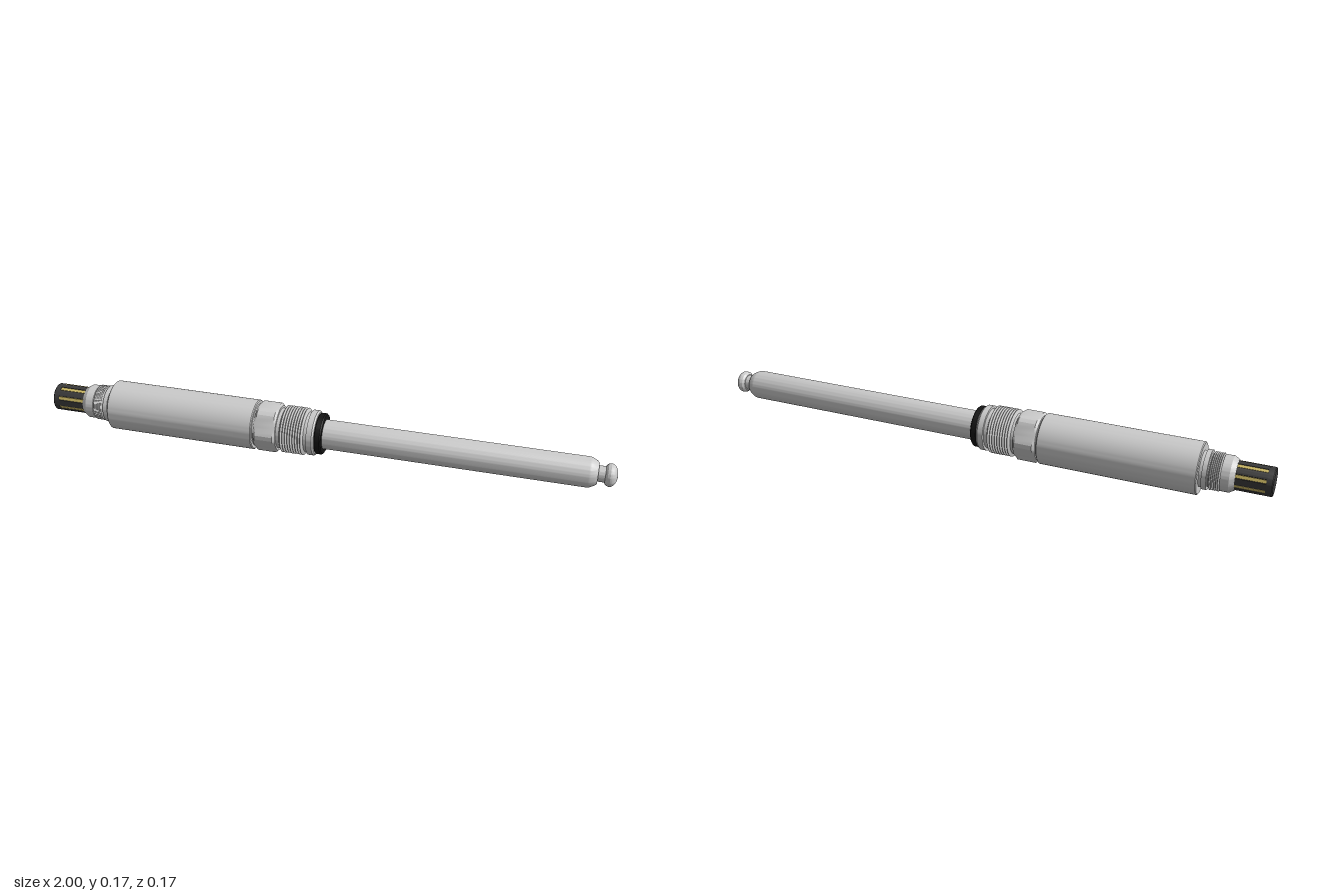
import * as THREE from 'three';
import { toCreasedNormals } from 'three/addons/utils/BufferGeometryUtils.js';

const AXIS_Y = 0.0875;
const grey = new THREE.MeshStandardMaterial({ color: 0xcccccc });
const dark = new THREE.MeshStandardMaterial({ color: 0x3a3a3a });
const black = new THREE.MeshStandardMaterial({ color: 0x141414 });
const gold = new THREE.MeshStandardMaterial({ color: 0xcdb964 });

// Profile of [position along x, radius] pairs turned around the probe axis
function turned(name, profile, material = grey, reshape) {
  const points = profile.map(([x, r]) => new THREE.Vector2(r, x));
  let geometry = new THREE.LatheGeometry(points, 72);
  if (reshape) reshape(geometry.attributes.position);
  geometry.rotateZ(-Math.PI / 2);
  geometry = toCreasedNormals(geometry, 0.3);
  const mesh = new THREE.Mesh(geometry, material);
  mesh.name = name;
  return mesh;
}

// Ridged profile between two positions
function ridges(x0, x1, count, rootR, crestR) {
  const out = [];
  const pitch = (x1 - x0) / count;
  for (let i = 0; i < count; i++) {
    const x = x0 + i * pitch;
    out.push([x, rootR], [x + pitch * 0.42, crestR], [x + pitch * 0.58, crestR]);
  }
  out.push([x1, rootR]);
  return out;
}

// Cut a turned part down to a hexagon with flats at top and bottom
function toHexagon(position) {
  const apothem = 0.08;
  const sector = Math.PI / 3;
  for (let i = 0; i < position.count; i++) {
    const x = position.getX(i), z = position.getZ(i);
    const r = Math.hypot(x, z);
    if (r < 1e-6) continue;
    const angle = Math.atan2(z, x);
    const fromFlat = angle - Math.round(angle / sector) * sector;
    const k = Math.min(r, apothem / Math.cos(fromFlat)) / r;
    position.setX(i, x * k);
    position.setZ(i, z * k);
  }
}

// Dark plug with lengthwise slots, each holding a gold contact
function makeConnector() {
  const group = new THREE.Group();
  group.name = 'connector';
  const count = 8, outer = 0.048, floor = 0.04, half = 0.15;
  const shape = new THREE.Shape();
  for (let i = 0; i < count; i++) {
    const a = (i + 0.5) * Math.PI * 2 / count;
    const next = a + Math.PI * 2 / count;
    const p = (r, t) => [r * Math.cos(t), r * Math.sin(t)];
    if (i === 0) shape.moveTo(...p(floor, a - half));
    else shape.lineTo(...p(floor, a - half));
    shape.lineTo(...p(floor, a + half));
    shape.lineTo(...p(outer, a + half));
    shape.absarc(0, 0, outer, a + half, next - half, false);
  }
  shape.closePath();
  const geometry = new THREE.ExtrudeGeometry(shape, { depth: 0.105, bevelEnabled: false, curveSegments: 6 });
  geometry.rotateY(Math.PI / 2).translate(-0.98, 0, 0);
  const plug = new THREE.Mesh(toCreasedNormals(geometry, 0.4), dark);
  plug.name = 'slottedPlug';
  group.add(plug);
  group.add(turned('plugEnd', [[-1, 0], [-1, 0.045], [-0.997, 0.048], [-0.978, 0.048], [-0.978, 0]], dark));

  for (let i = 0; i < count; i++) {
    const a = (i + 0.5) * Math.PI * 2 / count;
    const pin = new THREE.Mesh(new THREE.BoxGeometry(0.1, 0.008, 0.011), gold);
    pin.name = 'contact';
    pin.position.set(-0.928, 0.043 * Math.sin(a + Math.PI / 2), 0.043 * Math.cos(a + Math.PI / 2));
    pin.rotation.x = -a;
    group.add(pin);
  }
  return group;
}

export function createModel() {
  const model = new THREE.Group();
  model.name = 'sensorProbe';
  const probe = new THREE.Group();
  probe.name = 'probe';
  probe.position.y = AXIS_Y;
  model.add(probe);

  probe.add(makeConnector());

  // Stepped collar with a fine thread behind the plug
  probe.add(turned('connectorCollar', [
    [-0.882, 0], [-0.882, 0.05], [-0.866, 0.06], [-0.838, 0.06], [-0.838, 0.055],
    ...ridges(-0.836, -0.802, 6, 0.057, 0.063),
    [-0.8, 0.055], [-0.796, 0.055], [-0.796, 0.066], [-0.78, 0.066], [-0.78, 0.06],
    [-0.765, 0.06], [-0.765, 0],
  ]));

  // Main barrel
  probe.add(turned('barrel', [
    [-0.77, 0], [-0.77, 0.0845], [-0.767, 0.0875], [-0.234, 0.0875], [-0.231, 0.0845], [-0.231, 0],
  ]));
  probe.add(turned('barrelNeck', [[-0.235, 0.074], [-0.22, 0.074]]));

  // Wrench nut with chamfered corners
  probe.add(turned('hexNut', [
    [-0.225, 0], [-0.225, 0.079], [-0.217, 0.0875], [-0.154, 0.0875], [-0.146, 0.079], [-0.146, 0],
  ], grey, toHexagon));

  // Mounting thread and seal seat
  probe.add(turned('mountingThread', [
    [-0.15, 0.071], [-0.134, 0.071], ...ridges(-0.132, -0.05, 9, 0.073, 0.083),
    [-0.048, 0.07], [-0.036, 0.07], [-0.036, 0.079], [-0.016, 0.079], [-0.01, 0.074], [-0.01, 0],
  ]));

  // Seal ring
  probe.add(turned('sealRing', [
    [-0.011, 0.045], [-0.011, 0.068], [-0.007, 0.072], [0.01, 0.072], [0.014, 0.068], [0.014, 0.045],
  ], black));

  // Long shaft with tapered shoulder
  probe.add(turned('shaft', [
    [0, 0], [0, 0.0515], [0.908, 0.0515], [0.914, 0.05], [0.93, 0.042], [0.937, 0.036], [0.937, 0],
  ]));

  // Narrow neck and rounded sensing tip
  const dome = [];
  for (let i = 0; i <= 10; i++) {
    const t = i / 10 * Math.PI / 2;
    dome.push([0.976 + 0.024 * Math.sin(t), 0.039 * Math.cos(t)]);
  }
  probe.add(turned('tipNeck', [[0.934, 0.027], [0.966, 0.027]]));
  probe.add(turned('sensingTip', [[0.96, 0], [0.96, 0.03], [0.967, 0.037], ...dome]));

  return model;
}
